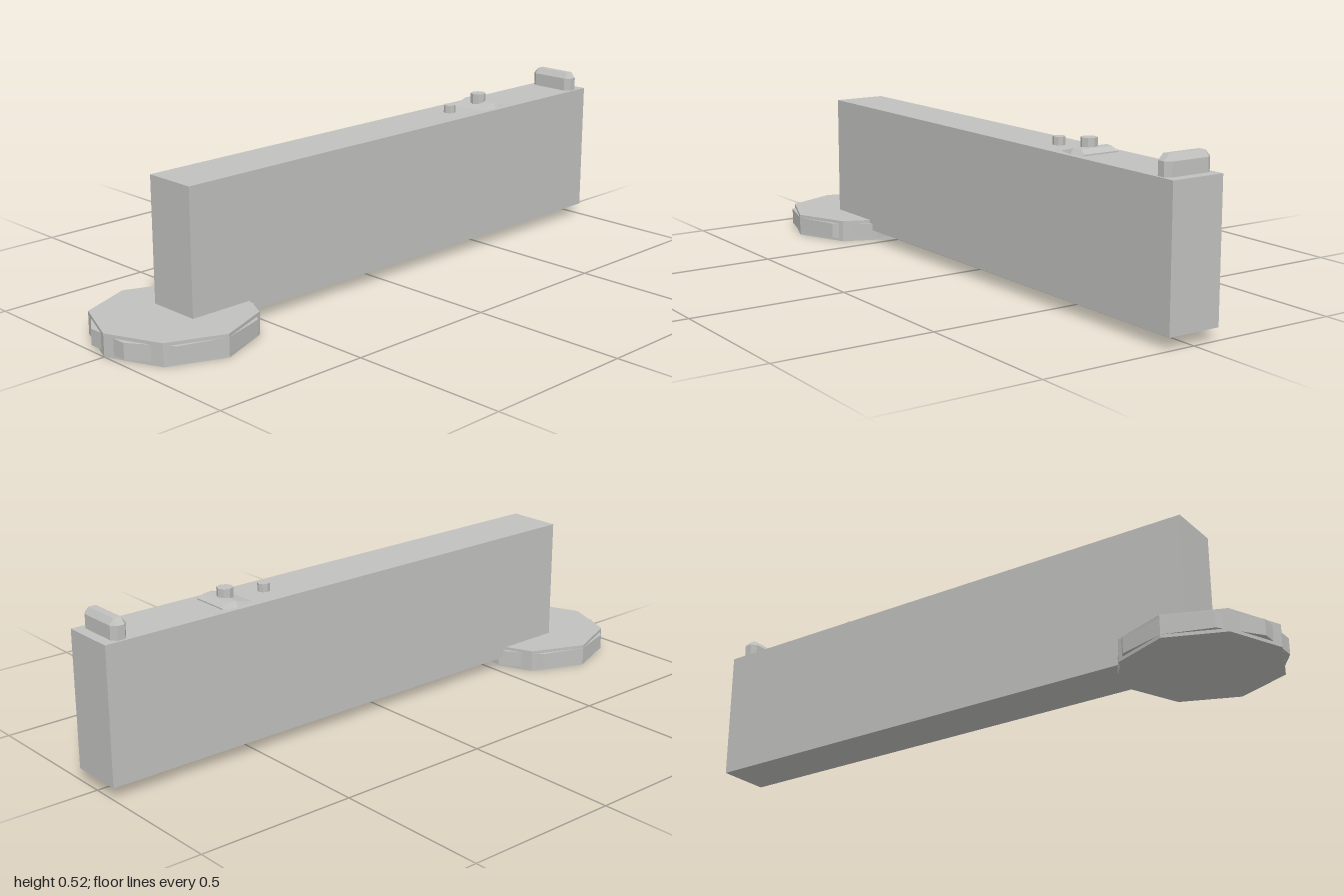
import * as THREE from 'three';
import { ConvexGeometry } from 'three/addons/geometries/ConvexGeometry.js';

export function createModel() {
  const model = new THREE.Group();
  const grey = new THREE.MeshStandardMaterial({ color: 0xc0c0be });
  grey.name = 'lightGrey';
  grey.flatShading = true;

  const add = (name, geometry, x, y, z) => {
    const mesh = new THREE.Mesh(geometry, grey);
    mesh.name = name;
    mesh.position.set(x, y, z);
    model.add(mesh);
  };
  // Upright prism between two heights
  const prism = (name, radius, sides, x, y0, y1) =>
    add(name, new THREE.CylinderGeometry(radius, radius, y1 - y0, sides), x, (y0 + y1) / 2, 0);
  // Convex solid mirrored across z = 0
  const mirroredHull = (points) => new ConvexGeometry(points.flatMap(([x, y, z]) =>
    [new THREE.Vector3(x, y, z), new THREE.Vector3(x, y, -z)]));

  // Long slab body
  const top = 0.458;
  add('body', new THREE.BoxGeometry(1.755, 0.421, 0.174), 0.1225, 0.2475, 0);

  // Round foot: eight-sided disc with a ten-sided rim band
  prism('footDisc', 0.245, 8, -0.755, 0, 0.07);
  prism('footRim', 0.245, 10, -0.755, 0.01, 0.06);

  // Chamfered bar across the end of the top
  const bar = [];
  for (const s of [-1, 1]) {
    for (const y of [0, 0.042]) bar.push([s * 0.025, y, 0.063], [s * 0.012, y, 0.08]);
    bar.push([s * 0.012, 0.06, 0.063]);
  }
  add('endBar', mirroredHull(bar), 0.943, top, 0);

  // Sloping pad that rises out of the top, with its button
  add('slopedPad', mirroredHull([
    [0.47, -0.004, 0.056], [0.55, -0.004, 0.076], [0.595, -0.004, 0.066],
    [0.545, 0.016, 0.06], [0.575, 0.016, 0.055], [0.595, 0.004, 0.06],
  ]), 0, top, 0);
  prism('padButton', 0.025, 8, 0.54, top, 0.5);

  // Small button beside the pad
  prism('smallButton', 0.019, 8, 0.4, top, 0.483);

  return model;
}
